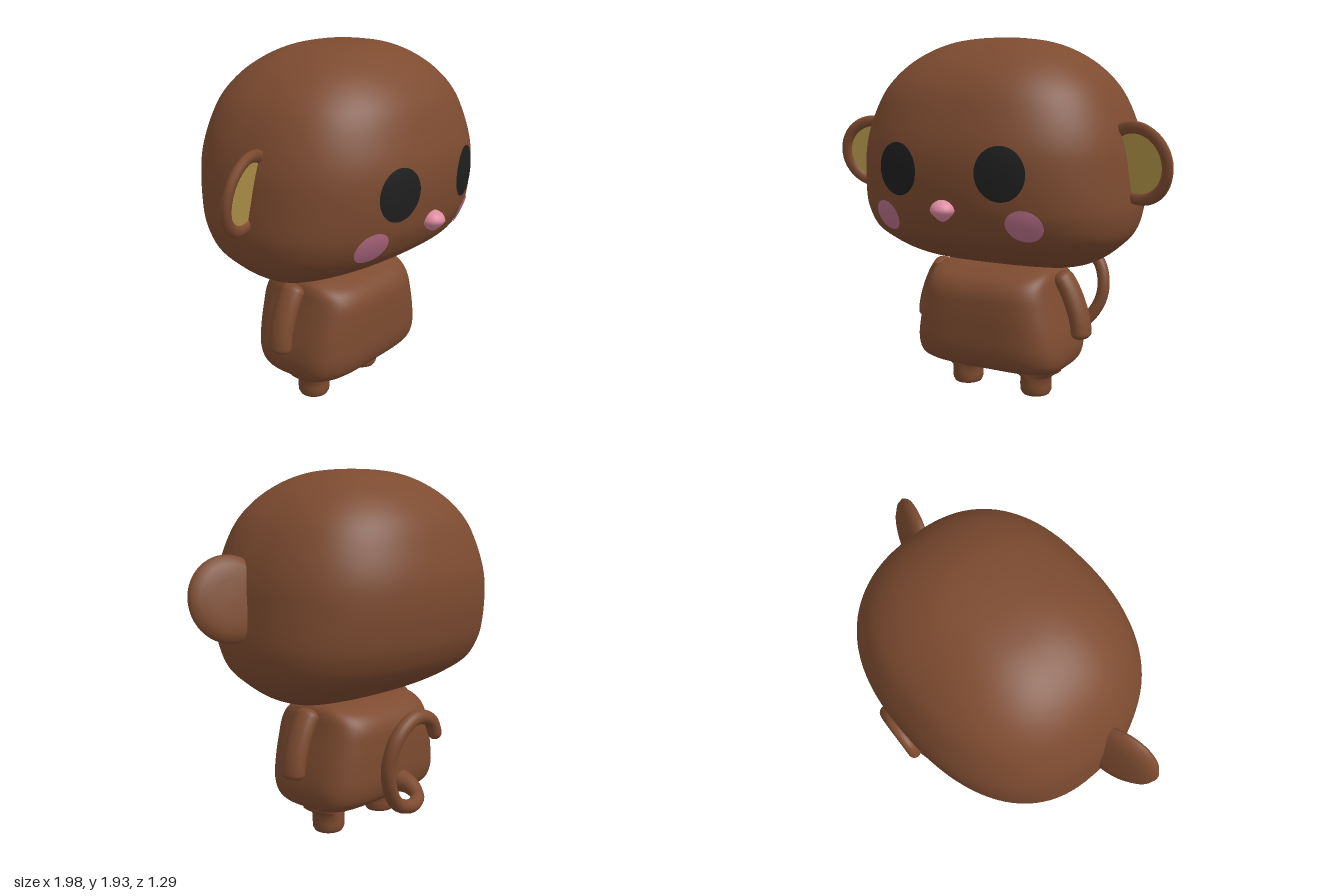
import * as THREE from 'three';
import { mergeVertices } from 'three/addons/utils/BufferGeometryUtils.js';

const mat = (name, color, side = THREE.FrontSide) => {
  const m = new THREE.MeshStandardMaterial({ color, side });
  m.name = name;
  return m;
};

// Weld seams and recompute smooth normals
function smooth(geo) {
  geo.deleteAttribute('uv');
  geo.deleteAttribute('normal');
  const g = mergeVertices(geo, 1e-5);
  g.computeVertexNormals();
  return g;
}

// Smooth rows of (half width, height, half depth)
const sampleRows = (rows, n) =>
  new THREE.CatmullRomCurve3(rows.map(r => new THREE.Vector3(...r))).getPoints(n);

// Loft superellipse rings of the given power up through the rows
function loft(rows, power, segs) {
  const pos = [], idx = [];
  const bend = v => Math.sign(v) * Math.abs(v) ** (2 / power);
  for (const r of rows)
    for (let j = 0; j < segs; j++) {
      const a = (j / segs) * Math.PI * 2;
      pos.push(r.x * bend(Math.cos(a)), r.y, r.z * bend(Math.sin(a)));
    }
  for (let i = 0; i < rows.length - 1; i++)
    for (let j = 0; j < segs; j++) {
      const k = (j + 1) % segs, a = i * segs, b = a + segs;
      idx.push(a + j, b + j, a + k, b + j, b + k, a + k);
    }
  const g = new THREE.BufferGeometry();
  g.setAttribute('position', new THREE.Float32BufferAttribute(pos, 3));
  g.setIndex(idx);
  return smooth(g);
}

// Tube whose radius follows radiusAt(t)
function taperedTube(points, radiusAt, segs = 64) {
  const curve = new THREE.CatmullRomCurve3(points.map(p => new THREE.Vector3(...p)));
  const g = new THREE.TubeGeometry(curve, segs, 1, 20, false);
  const p = g.attributes.position, v = new THREE.Vector3();
  for (let i = 0; i < p.count; i++) {
    const t = Math.floor(i / 21) / segs, c = curve.getPointAt(t);
    v.fromBufferAttribute(p, i).sub(c).multiplyScalar(radiusAt(t)).add(c);
    p.setXYZ(i, v.x, v.y, v.z);
  }
  return smooth(g);
}
// Rounded end: 1 inside, falling to 0 over length e
const cap = (d, e) => (d >= e ? 1 : Math.sqrt(Math.max(0, 1 - ((e - d) / e) ** 2)));

const HEAD_POWER = 2.4, HEAD_Z = -0.018;
const headRows = sampleRows([
  [0, 0.73, 0], [0.3, 0.722, 0.04], [0.45, 0.745, 0.16], [0.56, 0.785, 0.27], [0.65, 0.85, 0.4],
  [0.72, 0.93, 0.515], [0.75, 1.03, 0.575], [0.755, 1.1, 0.597], [0.745, 1.25, 0.62],
  [0.73, 1.38, 0.618], [0.69, 1.52, 0.585], [0.62, 1.66, 0.53], [0.52, 1.77, 0.44],
  [0.4, 1.85, 0.33], [0.27, 1.9, 0.22], [0.13, 1.922, 0.11], [0, 1.926, 0],
], 80);

// Front surface of the head at (x, y)
function headZ(x, y) {
  const i = headRows.findIndex((r, k) => k > 10 && r.y > y);
  const a = headRows[i - 1], b = headRows[i];
  const r = a.clone().lerp(b, (y - a.y) / (b.y - a.y));
  return HEAD_Z + r.z * (1 - (Math.abs(x) / r.x) ** HEAD_POWER) ** (1 / HEAD_POWER);
}

// Thin oval laid over the face
function facePatch(cx, cy, rx, ry) {
  const g = new THREE.RingGeometry(0.001, 1, 48, 6);
  const p = g.attributes.position;
  for (let i = 0; i < p.count; i++) {
    const x = cx + p.getX(i) * rx, y = cy + p.getY(i) * ry;
    p.setXYZ(i, x, y, headZ(x, y) + 0.006);
  }
  g.computeVertexNormals();
  return g;
}

export function createModel() {
  const model = new THREE.Group();
  const fur = mat('brown fur', 0x7d4b30);
  const tan = mat('tan inner ear', 0xb4964a);
  const black = mat('black eye', 0x1f1f1f);
  const blush = mat('cheek pink', 0xb87088);
  const pink = mat('nose pink', 0xdc8a9f);
  const add = (name, geo, material, parent = model) => {
    const m = new THREE.Mesh(geo, material);
    m.name = name;
    parent.add(m);
    return m;
  };

  // Head and face
  add('head', loft(headRows, HEAD_POWER, 96), fur).position.z = HEAD_Z;
  add('rightEye', facePatch(-0.275, 1.27, 0.125, 0.133), black);
  add('leftEye', facePatch(0.3, 1.27, 0.12, 0.133), black);
  for (const s of [-1, 1])
    add(s < 0 ? 'rightCheek' : 'leftCheek', facePatch(s * 0.395, 1.02, 0.086, 0.08), blush);

  // Nose: a ball narrowed toward the bottom
  const noseGeo = new THREE.SphereGeometry(1, 24, 16);
  const np = noseGeo.attributes.position;
  for (let i = 0; i < np.count; i++) {
    const y = np.getY(i), k = y < 0 ? 1 + 0.45 * y : 1;
    np.setXYZ(i, np.getX(i) * 0.063 * k, y * 0.054, np.getZ(i) * 0.065 * k);
  }
  add('nose', smooth(noseGeo), pink).position.set(-0.005, 1.08, 0.582);

  // Ears: shallow bowls with a rim and a tan inside
  const earProfile = [[0, -0.035], [0.1, -0.034], [0.165, -0.025], [0.2, -0.005], [0.212, 0.015],
    [0.205, 0.03], [0.185, 0.036], [0.165, 0.033], [0.152, 0.022], [0.148, 0]];
  const earGeo = new THREE.LatheGeometry(earProfile.map(p => new THREE.Vector2(...p)), 48).rotateX(Math.PI / 2);
  for (const s of [-1, 1]) {
    const ear = new THREE.Group();
    ear.name = s < 0 ? 'rightEar' : 'leftEar';
    add('earBowl', earGeo, fur, ear);
    add('innerEar', new THREE.CircleGeometry(0.152, 48), tan, ear).position.z = 0.018;
    ear.position.set(s * 0.792, 1.305, 0.062);
    ear.rotation.set(0.18, -s * 0.28, 0);
    model.add(ear);
  }

  // Torso, limbs share a small offset
  const body = new THREE.Group();
  body.name = 'body';
  body.position.set(-0.015, 0, -0.015);
  model.add(body);
  const bodyRows = sampleRows([
    [0, 0.145, 0], [0.18, 0.147, 0.08], [0.33, 0.155, 0.16], [0.395, 0.18, 0.225], [0.425, 0.22, 0.277],
    [0.435, 0.29, 0.303], [0.42, 0.4, 0.31], [0.39, 0.52, 0.31], [0.368, 0.61, 0.3],
    [0.355, 0.67, 0.26], [0.33, 0.71, 0.18], [0.25, 0.73, 0.1], [0, 0.735, 0],
  ], 52);
  add('torso', loft(bodyRows, 4, 80), fur, body);

  // Leg: rounded foot with a sideways flare at the hip
  const legProfile = [[0, 0], [0.055, 0], [0.075, 0.007], [0.085, 0.025], [0.087, 0.06],
    [0.086, 0.1], [0.105, 0.122], [0.14, 0.142], [0.14, 0.17]];
  const legGeo = new THREE.LatheGeometry(legProfile.map(p => new THREE.Vector2(...p)), 32);
  const lp = legGeo.attributes.position;
  for (let i = 0; i < lp.count; i++) lp.setZ(i, THREE.MathUtils.clamp(lp.getZ(i), -0.087, 0.087));
  const leg = smooth(legGeo);

  for (const s of [-1, 1]) {
    const side = s < 0 ? 'right' : 'left';
    add(side + 'Leg', leg, fur, body).position.x = s * 0.218;
    // Arm: bent rounded tube, deeper than wide
    const arm = taperedTube(
      [[s * 0.355, 0.7, 0], [s * 0.41, 0.62, 0], [s * 0.455, 0.52, 0], [s * 0.48, 0.43, 0], [s * 0.488, 0.348, 0]],
      t => 0.052 * cap(t, 0.12) * cap(1 - t, 0.09), 48);
    add(side + 'Arm', arm, fur, body).scale.z = 1.35;
  }

  // Tail: thick root, sweeping to the left and curling over
  add('tail', taperedTube([
    [-0.05, 0.285, -0.28], [-0.04, 0.27, -0.38], [0, 0.24, -0.46], [0.1, 0.226, -0.5], [0.25, 0.28, -0.52],
    [0.345, 0.4, -0.545], [0.37, 0.52, -0.56], [0.33, 0.65, -0.583], [0.22, 0.725, -0.598],
    [0.1, 0.695, -0.603], [0.04, 0.59, -0.6],
  ], t => (0.036 + 0.03 * Math.max(0, 1 - t / 0.14)) * cap(1 - t, 0.03), 110), fur);

  return model;
}
